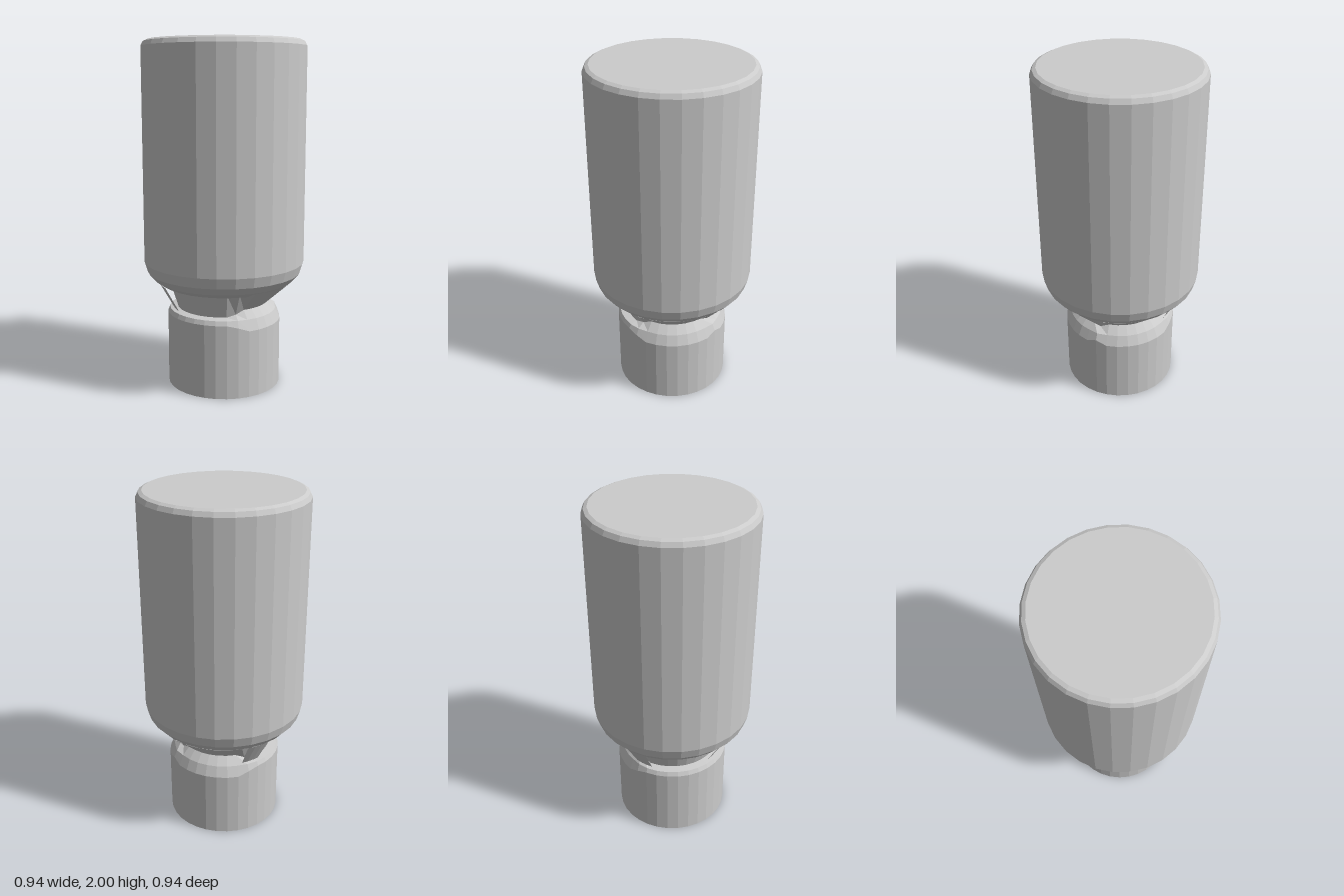
import * as THREE from 'three';

const material = new THREE.MeshStandardMaterial({ color: 0xcccccc, flatShading: true, side: THREE.DoubleSide });
const points = (list) => list.map(([r, y]) => new THREE.Vector2(r, y));

function lathe(name, profile, segments) {
  const mesh = new THREE.Mesh(new THREE.LatheGeometry(points(profile), segments), material);
  mesh.name = name;
  return mesh;
}

export function createModel() {
  const group = new THREE.Group();
  group.name = 'bottle';

  // Tall faceted body with a small top bevel and rounded shoulder
  group.add(lathe('body', [
    [0, 0.59], [0.31, 0.59], [0.36, 0.6], [0.41, 0.63], [0.45, 0.675], [0.468, 0.735],
    [0.468, 1.965], [0.455, 1.99], [0.435, 2], [0, 2],
  ], 28));

  // Base and neck: a stepped profile at the front and right (+z, -x),
  // blending into a chamfer and flare at the left and back (+x, -z)
  const stepped = [[0, 0], [0.332, 0], [0.332, 0.43], [0.32, 0.455], [0.275, 0.462], [0.32, 0.605]];
  const flared = [[0, 0], [0.332, 0], [0.332, 0.39], [0.305, 0.45], [0.26, 0.495], [0.405, 0.625]];
  const neck = lathe('baseAndNeck', stepped, 32);
  const pos = neck.geometry.attributes.position;
  const rows = stepped.length;
  for (let i = 0; i < pos.count; i++) {
    const phi = Math.floor(i / rows) / 32 * Math.PI * 2;
    const s = Math.sin(phi), c = Math.cos(phi);
    const w = THREE.MathUtils.smoothstep(Math.max(s, -c), 0.62, 0.82);
    const [r0, y0] = stepped[i % rows], [r1, y1] = flared[i % rows];
    const r = THREE.MathUtils.lerp(r0, r1, w);
    pos.setXYZ(i, r * s, THREE.MathUtils.lerp(y0, y1, w), r * c);
  }
  neck.geometry.computeVertexNormals();
  group.add(neck);

  // Sloping webs under the shoulder at the sides of the stepped faces
  const web = new THREE.CylinderGeometry(0.385, 0.3, 0.15, 3, 1, true, -0.18, 0.36);
  [-40, -130].forEach((deg) => {
    const mesh = new THREE.Mesh(web, material);
    mesh.name = 'neckWeb';
    mesh.position.y = 0.535;
    mesh.rotation.y = THREE.MathUtils.degToRad(deg);
    group.add(mesh);
  });

  return group;
}
